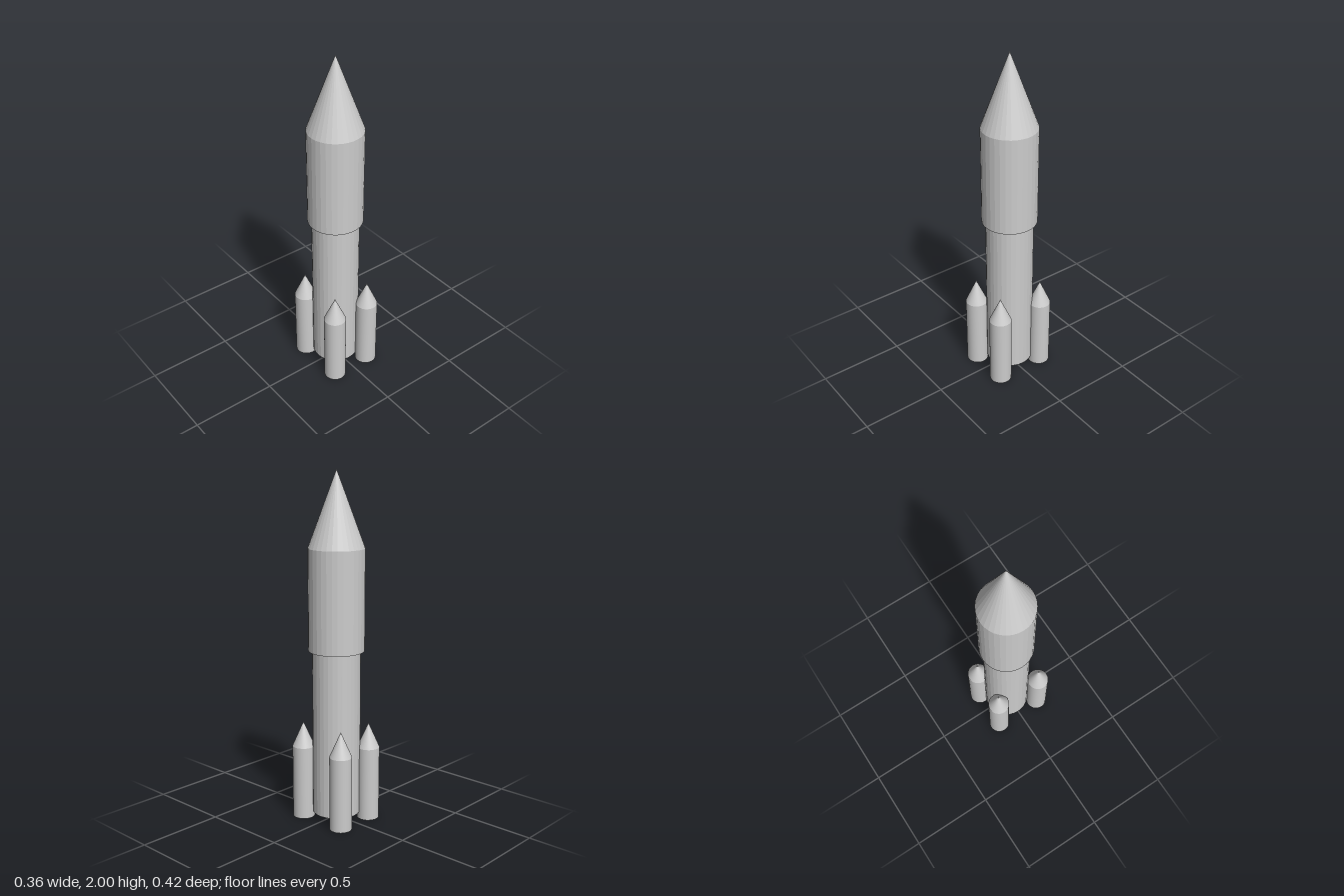
import * as THREE from 'three';

export function createModel() {
  const rocket = new THREE.Group();
  rocket.name = 'rocket';
  const faceted = new THREE.MeshStandardMaterial({ color: 0xcccccc, flatShading: true });
  const smooth = new THREE.MeshStandardMaterial({ color: 0xcccccc });

  // Upright cylinder or cone between two heights
  function section(name, topRadius, bottomRadius, y0, y1, material) {
    const geometry = new THREE.CylinderGeometry(topRadius, bottomRadius, y1 - y0, 32);
    const mesh = new THREE.Mesh(geometry, material);
    mesh.position.y = (y0 + y1) / 2;
    mesh.name = name;
    return mesh;
  }

  // Central stack, slightly off the booster centre
  const core = new THREE.Group();
  core.name = 'core';
  core.position.set(0.004, 0, -0.008);
  core.add(
    section('lowerStage', 0.137, 0.137, 0.04, 1.0, faceted),
    section('upperStage', 0.159, 0.159, 1.0, 1.575, faceted),
    section('noseCone', 0, 0.159, 1.575, 2, faceted)
  );
  rocket.add(core);

  // Four strap-on boosters
  for (const sx of [-1, 1]) {
    for (const sz of [-1, 1]) {
      const booster = new THREE.Group();
      booster.name = (sz > 0 ? 'front' : 'back') + (sx > 0 ? 'Left' : 'Right') + 'Booster';
      booster.position.set(sx * 0.118, 0, sz * 0.145);
      booster.add(
        section('boosterBody', 0.064, 0.064, 0, 0.43, smooth),
        section('boosterNose', 0, 0.064, 0.43, 0.575, smooth)
      );
      rocket.add(booster);
    }
  }
  return rocket;
}
